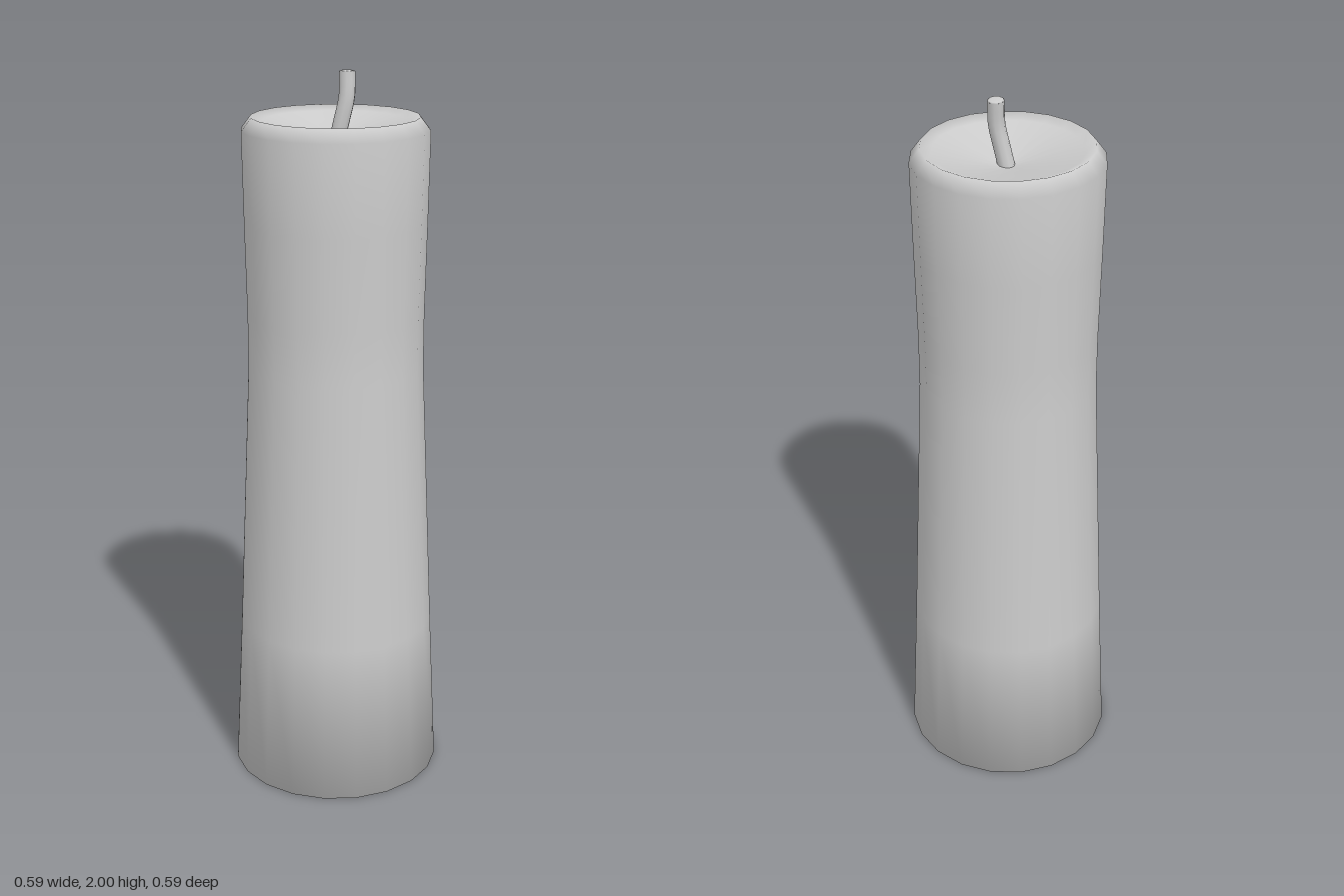
import * as THREE from 'three';

export function createModel() {
  const model = new THREE.Group();
  const material = new THREE.MeshStandardMaterial({ color: 0xcccccc });

  // Candle body: flat base, tapered wall, bevelled rim and dished top
  const profile = [
    [0, 0], [0.296, 0], [0.275, 0.45], [0.243, 1.2], [0.243, 1.35],
    [0.248, 1.6], [0.252, 1.845], [0.225, 1.88], [0.195, 1.867], [0, 1.82],
  ].map(([r, y]) => new THREE.Vector2(r, y));
  const body = new THREE.Mesh(new THREE.LatheGeometry(profile, 20), material);
  body.name = 'candleBody';
  model.add(body);

  // Bent wick rising from the bottom of the dish
  const path = new THREE.CatmullRomCurve3([
    new THREE.Vector3(0, 1.8, 0.003),
    new THREE.Vector3(0.017, 1.87, 0.006),
    new THREE.Vector3(0.03, 1.93, 0.005),
    new THREE.Vector3(0.031, 1.995, -0.001),
  ]);
  const radius = 0.022;
  const wick = new THREE.Group();
  wick.name = 'wick';
  const stem = new THREE.Mesh(new THREE.TubeGeometry(path, 10, radius, 10), material);
  stem.name = 'wickStem';

  // Slightly domed tip, aligned with the end of the wick
  const dome = new THREE.SphereGeometry(radius, 10, 3, 0, Math.PI * 2, 0, Math.PI / 2);
  dome.scale(1, 0.2, 1);
  const tip = new THREE.Mesh(dome, material);
  tip.name = 'wickTip';
  tip.position.copy(path.getPoint(1));
  tip.quaternion.setFromUnitVectors(new THREE.Vector3(0, 1, 0), path.getTangent(1));
  wick.add(stem, tip);
  model.add(wick);

  return model;
}
